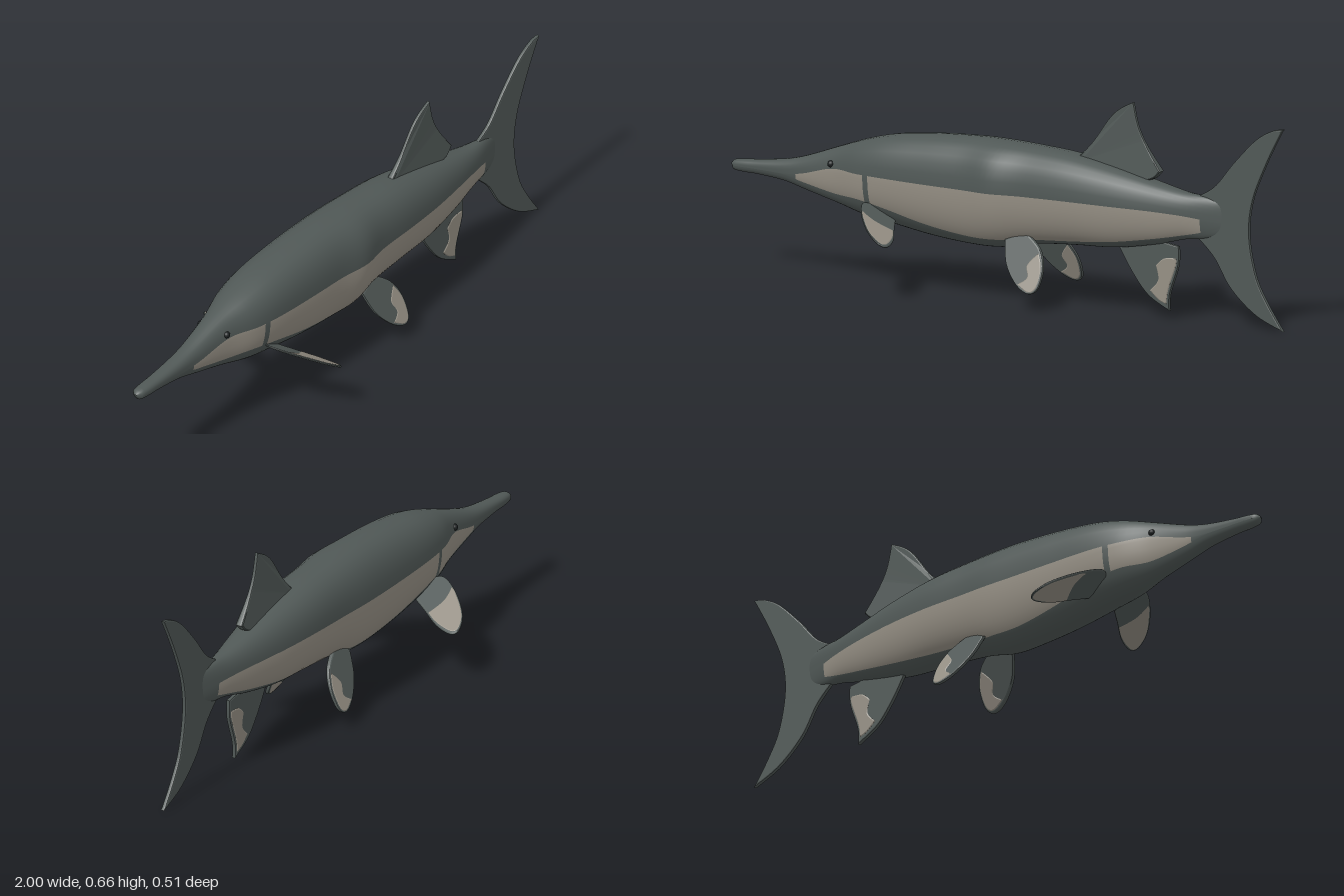
import * as THREE from 'three';

const dark = new THREE.MeshStandardMaterial({ color: 0x505856, side: THREE.DoubleSide });
dark.name = 'slate skin';
const light = new THREE.MeshStandardMaterial({ color: 0x958f84, side: THREE.DoubleSide });
light.name = 'pale skin';
const black = new THREE.MeshStandardMaterial({ color: 0x1c2021 });
black.name = 'eye black';

// Body stations: x, top, bottom, half width, pale band top, pale band bottom
const STATIONS = [
  [-1, 0.328, 0.324, 0.003, 0.326, 0.326], [-0.988, 0.339, 0.307, 0.018, 0.322, 0.322],
  [-0.9, 0.347, 0.301, 0.024, 0.32, 0.32], [-0.8, 0.36, 0.29, 0.03, 0.318, 0.315],
  [-0.73, 0.377, 0.272, 0.036, 0.325, 0.3], [-0.6, 0.422, 0.24, 0.056, 0.357, 0.278],
  [-0.5, 0.455, 0.215, 0.086, 0.356, 0.275], [-0.4, 0.478, 0.2, 0.1, 0.355, 0.258],
  [-0.25, 0.494, 0.177, 0.106, 0.352, 0.222], [-0.1, 0.501, 0.165, 0.108, 0.35, 0.2],
  [0, 0.5, 0.168, 0.108, 0.35, 0.2], [0.1, 0.495, 0.188, 0.104, 0.35, 0.208],
  [0.25, 0.483, 0.2, 0.099, 0.35, 0.217], [0.4, 0.457, 0.207, 0.085, 0.347, 0.23],
  [0.55, 0.424, 0.232, 0.06, 0.342, 0.253], [0.65, 0.404, 0.257, 0.039, 0.335, 0.272],
  [0.72, 0.397, 0.265, 0.022, 0.326, 0.288], [0.79, 0.38, 0.285, 0.004, 0.32, 0.315],
];

// Smooth interpolation of the station table
function station(x) {
  let i = 0;
  while (i < STATIONS.length - 2 && x > STATIONS[i + 1][0]) i++;
  const at = (k) => STATIONS[THREE.MathUtils.clamp(k, 0, STATIONS.length - 1)];
  const [p, a, b, n] = [at(i - 1), at(i), at(i + 1), at(i + 2)];
  const t = (x - a[0]) / (b[0] - a[0]);
  return a.map((v, k) => {
    if (k === 0) return x;
    const d = b[0] - a[0];
    const m0 = ((b[k] - p[k]) / (b[0] - p[0])) * d;
    const m1 = ((n[k] - v) / (n[0] - a[0])) * d;
    const t2 = t * t, t3 = t2 * t;
    return (2 * t3 - 3 * t2 + 1) * v + (t3 - 2 * t2 + t) * m0 + (3 * t2 - 2 * t3) * b[k] + (t3 - t2) * m1;
  });
}

const POWER = 2.35, ROWS = 7;

// One closed cross-section, with rows placed on the edges of the pale band
function section(x) {
  const [, top, bottom, width, hi, lo] = station(x);
  const c = (top + bottom) / 2, h = (top - bottom) / 2;
  const angle = (y) => {
    const s = THREE.MathUtils.clamp((y - c) / h, -1, 1);
    return Math.acos(Math.sign(s) * Math.abs(s) ** (POWER / 2));
  };
  const stops = [0, angle(hi), angle(lo), Math.PI];
  const half = [];
  for (let s = 0; s < 3; s++) {
    for (let r = 0; r < ROWS; r++) half.push(THREE.MathUtils.lerp(stops[s], stops[s + 1], r / ROWS));
  }
  half.push(Math.PI);
  const point = (a, side) => {
    const ca = Math.cos(a);
    const f = Math.sign(ca) * Math.abs(ca) ** (2 / POWER);
    let z = width * Math.abs(Math.sin(a)) ** (2 / POWER) * (1 + 0.1 * f);
    if (side > 0) z *= 1 + 0.12 * Math.exp(-((x / 0.07) ** 2)); // flank bulge
    return [x, c + h * f, side * z];
  };
  const left = half.map((a) => point(a, 1));
  const right = half.slice(1, -1).reverse().map((a) => point(a, -1));
  return left.concat(right);
}

function makeBody() {
  const xs = [-1, -0.996, -0.988, -0.975];
  for (let x = -0.95; x < 0.791; x += 0.02) xs.push(x);
  const rings = xs.map(section), count = rings[0].length;
  const darkFaces = [], lightFaces = [];
  for (let i = 0; i < xs.length - 1; i++) {
    const mid = (xs[i] + xs[i + 1]) / 2;
    const gill = mid > -0.475 && mid < -0.445;
    const banded = mid > -0.74 && mid < 0.72 && !gill;
    for (let j = 0; j < count; j++) {
      const row = j < 3 * ROWS ? j : 6 * ROWS - 1 - j;
      const pale = banded && row >= ROWS && row < 2 * ROWS;
      const k = (j + 1) % count;
      const a = i * count + j, b = i * count + k, d = a + count, e = b + count;
      (pale ? lightFaces : darkFaces).push(a, b, d, b, e, d);
    }
  }
  const g = new THREE.BufferGeometry();
  g.setAttribute('position', new THREE.Float32BufferAttribute(rings.flat(2), 3));
  g.setIndex([...darkFaces, ...lightFaces]);
  g.addGroup(0, darkFaces.length, 0);
  g.addGroup(darkFaces.length, lightFaces.length, 1);
  g.computeVertexNormals();
  const mesh = new THREE.Mesh(g, [dark, light]);
  mesh.name = 'body';
  return mesh;
}

// Thin fin from chained smooth edges; place() bends it into position
function fin(name, edges, material, thick, place, flip = false) {
  const shape = new THREE.Shape();
  shape.moveTo(...edges[0][0]);
  for (const e of edges) shape.splineThru(e.slice(1).map((p) => new THREE.Vector2(...p)));
  const bevel = thick * 0.35;
  const g = new THREE.ExtrudeGeometry(shape, {
    depth: thick - 2 * bevel, bevelThickness: bevel, bevelSize: 0.004, bevelOffset: -0.004,
    bevelSegments: 2, curveSegments: 6,
  });
  g.translate(0, 0, bevel - thick / 2);
  const pos = g.attributes.position;
  for (let i = 0; i < pos.count; i++) {
    pos.setXYZ(i, ...place(pos.getX(i), pos.getY(i), pos.getZ(i)));
  }
  if (flip) {
    // swap two corners of each triangle on mirrored copies
    const v = new THREE.Vector3(), w = new THREE.Vector3();
    for (let i = 0; i < pos.count; i += 3) {
      v.fromBufferAttribute(pos, i + 1);
      w.fromBufferAttribute(pos, i + 2);
      pos.setXYZ(i + 1, w.x, w.y, w.z);
      pos.setXYZ(i + 2, v.x, v.y, v.z);
    }
  }
  g.computeVertexNormals();
  const mesh = new THREE.Mesh(g, material);
  mesh.name = name;
  return mesh;
}

export function createModel() {
  const model = new THREE.Group();
  model.name = 'fish';
  model.add(makeBody());

  // Upright fins on the centre line
  const upright = (u, v, w) => [u, v, w];
  model.add(fin('tailFin', [
    [[0.67, 0.385], [0.75, 0.43], [0.82, 0.51], [0.9, 0.59], [0.96, 0.625], [1, 0.633]],
    [[1, 0.633], [0.94, 0.52], [0.89, 0.4], [0.877, 0.29], [0.9, 0.17], [0.94, 0.09], [1, 0.003]],
    [[1, 0.003], [0.9, 0.045], [0.81, 0.12], [0.75, 0.21], [0.68, 0.275]],
    [[0.68, 0.275], [0.67, 0.385]],
  ], dark, 0.014, upright));
  // base of the dorsal fin thickens towards the back
  model.add(fin('dorsalFin', [
    [[0.26, 0.475], [0.31, 0.525], [0.37, 0.605], [0.41, 0.64], [0.457, 0.664]],
    [[0.457, 0.664], [0.475, 0.59], [0.51, 0.525], [0.56, 0.458]],
    [[0.56, 0.458], [0.5, 0.425], [0.3, 0.445], [0.26, 0.475]],
  ], dark, 0.012, (u, v, w) => [u, v, w * (1 + 12 * Math.max(0, 0.55 - v))]));
  model.add(fin('analFin', [
    [[0.4, 0.22], [0.45, 0.14], [0.51, 0.07], [0.588, 0.027]],
    [[0.588, 0.027], [0.59, 0.08], [0.62, 0.17], [0.622, 0.232]],
    [[0.622, 0.232], [0.5, 0.245], [0.4, 0.22]],
  ], dark, 0.014, upright));
  model.add(fin('analFinPatch', [
    [[0.518, 0.085], [0.55, 0.058], [0.58, 0.046]],
    [[0.58, 0.046], [0.586, 0.09], [0.614, 0.17], [0.615, 0.195]],
    [[0.615, 0.195], [0.57, 0.19], [0.54, 0.165]],
    [[0.54, 0.165], [0.548, 0.12], [0.518, 0.085]],
  ], light, 0.018, upright));

  // Paired fins and eyes
  for (const side of [1, -1]) {
    const tag = side > 0 ? 'left' : 'right';
    const pectoral = (u, v, w) => [u, 0.27 - 0.57 * (u + 0.46) + w, side * v];
    model.add(fin(tag + 'PectoralFin', [
      [[-0.44, 0.06], [-0.46, 0.105], [-0.42, 0.175], [-0.36, 0.235], [-0.31, 0.255],
        [-0.29, 0.235], [-0.305, 0.175], [-0.345, 0.105], [-0.37, 0.06]],
      [[-0.37, 0.06], [-0.44, 0.06]],
    ], dark, 0.008, pectoral, side > 0));
    model.add(fin(tag + 'PectoralPatch', [
      [[-0.433, 0.15], [-0.418, 0.174], [-0.36, 0.232], [-0.312, 0.251], [-0.294, 0.234],
        [-0.308, 0.175], [-0.335, 0.125]],
      [[-0.335, 0.125], [-0.385, 0.15], [-0.433, 0.15]],
    ], light, 0.0096, pectoral, side > 0));

    const pelvic = (u, v, w) => [u, v, side * (0.067 + 0.45 * (0.21 - v) + w)];
    model.add(fin(tag + 'PelvicFin', [
      [[0.035, 0.205], [0.06, 0.135], [0.11, 0.08], [0.16, 0.057], [0.19, 0.075],
        [0.193, 0.135], [0.165, 0.19], [0.1, 0.235]],
      [[0.1, 0.235], [0.035, 0.205]],
    ], dark, 0.014, pelvic, side < 0));
    model.add(fin(tag + 'PelvicPatch', [
      [[0.115, 0.082], [0.16, 0.061], [0.186, 0.077], [0.189, 0.134], [0.168, 0.18]],
      [[0.168, 0.18], [0.135, 0.14], [0.145, 0.105], [0.115, 0.082]],
    ], light, 0.017, pelvic, side < 0));

    const eye = new THREE.Mesh(new THREE.SphereGeometry(0.011, 14, 10), black);
    eye.name = tag + 'Eye';
    eye.position.set(-0.61, 0.37, side * 0.05);
    model.add(eye);
  }
  return model;
}
